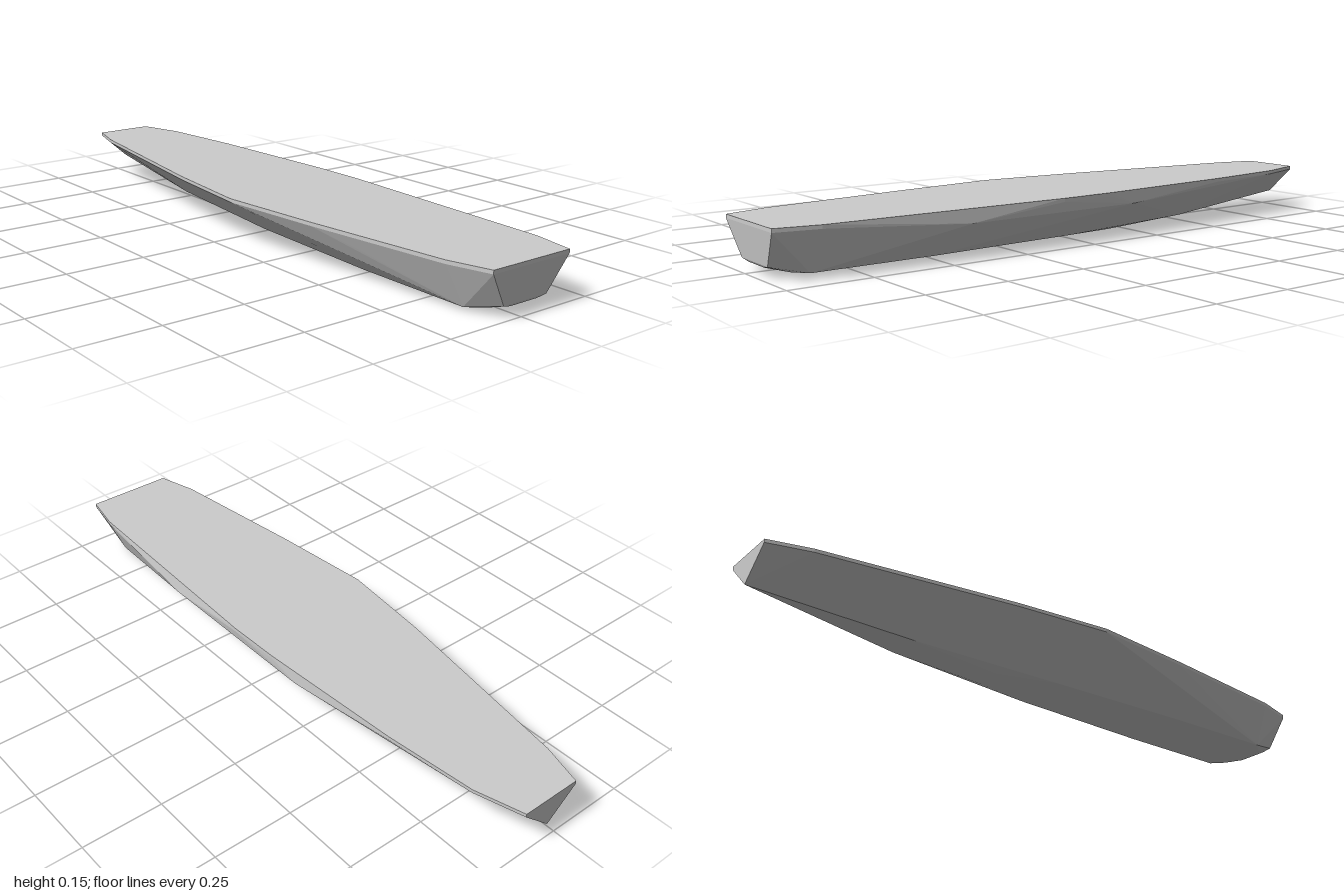
import * as THREE from 'three';
import { ConvexGeometry } from 'three/addons/geometries/ConvexGeometry.js';

// Deck outline as [x, z], running round the hull
const deck = [
  [-0.063, -1], [0.127, -1], [0.17, -0.85], [0.2, -0.56], [0.227, -0.08], [0.23, 0.1],
  [0.2, 0.87], [0.175, 1], [-0.11, 1], [-0.145, 0.87], [-0.2, 0.4], [-0.231, 0.06],
  [-0.197, -0.25], [-0.1, -0.87],
];

// Lower hull stations: z, left x, right x, y
const stations = [
  [0.985, -0.05, 0.11, 0.035], // foot of the bow panel
  [0.98, -0.02, 0.08, 0.028],
  [0.92, -0.05, 0.11, 0.013],
  [0.88, -0.085, 0.143, 0.011], // chine
  [0.5, -0.082, 0.137, 0.009],
  [0, -0.06, 0.118, 0.009],
  [-0.5, -0.02, 0.085, 0.018],
  [0.77, -0.04, 0.1, 0.001], // flat bottom
  [-0.2, -0.015, 0.075, 0.001],
];

export function createModel() {
  const group = new THREE.Group();
  const points = [];
  const add = (x, y, z) => points.push(new THREE.Vector3(x, y, z));

  // Deck edge with its shallow upright rim
  for (const [x, z] of deck) {
    add(x, 0.147, z);
    add(x, 0.136, z);
  }
  // Bottom and chines
  for (const [z, x0, x1, y] of stations) {
    add(x0, y, z);
    add(x1, y, z);
  }
  // Side bulges and pointed stern
  add(0.223, 0.105, 0.42);
  add(0.223, 0.105, -0.18);
  add(-0.168, 0.105, 0.55);
  add(0.034, 0.05, -1);

  const hull = new THREE.Mesh(
    new ConvexGeometry(points),
    new THREE.MeshStandardMaterial({ color: 0xcccccc, flatShading: true }),
  );
  hull.name = 'hull';
  group.add(hull);
  return group;
}
